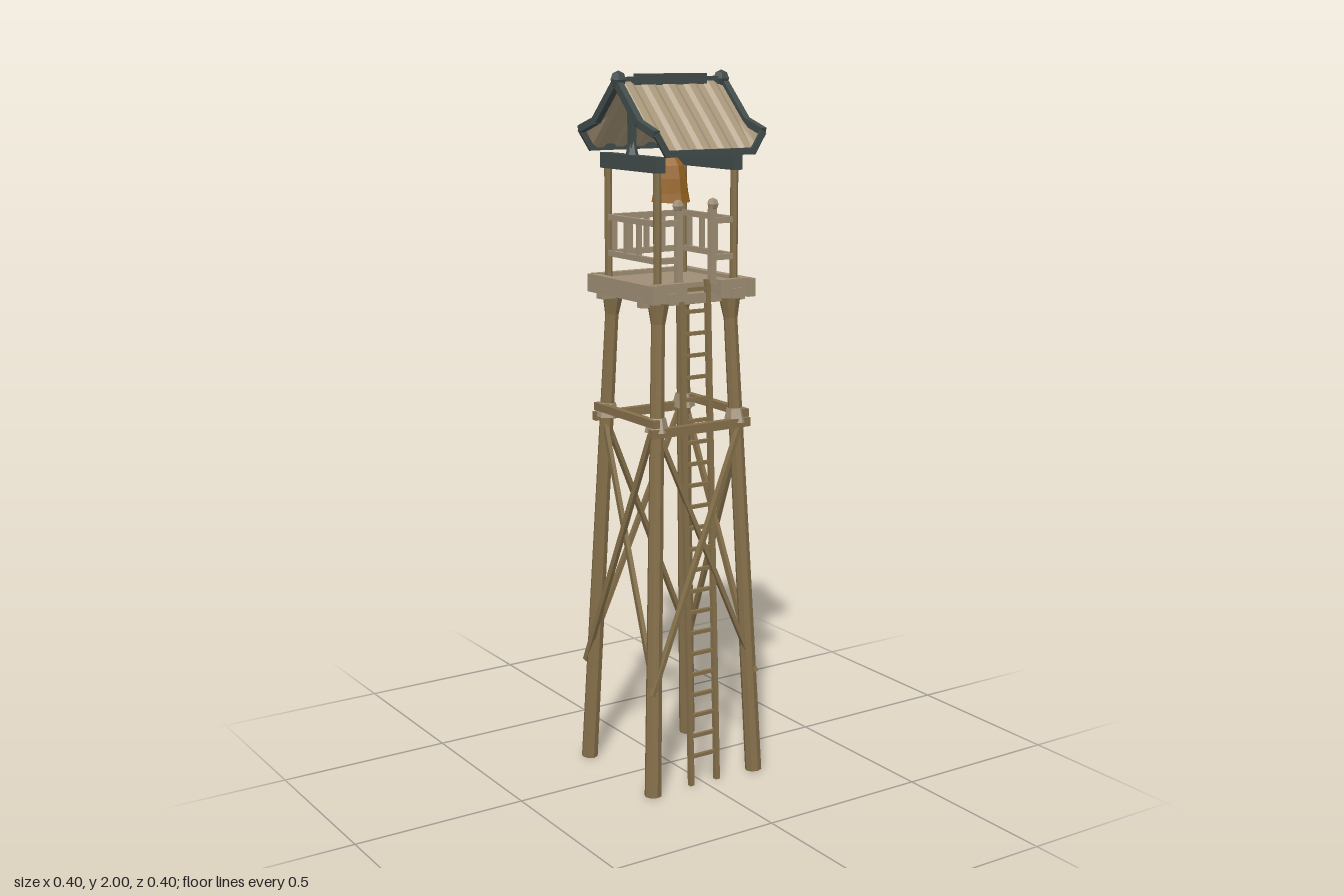
import * as THREE from 'three';

const paint = (name, color, extra = {}) => {
  const m = new THREE.MeshStandardMaterial({ color, flatShading: true, ...extra });
  m.name = name;
  return m;
};
const V = (x, y, z) => new THREE.Vector3(x, y, z);

export function createModel() {
  const brown = paint('brown timber', 0x85704a);
  const pale = paint('pale timber', 0xa08f76);
  const tan = paint('roof boards', 0xa8977a, { side: THREE.DoubleSide });
  const slate = paint('dark trim', 0x414c4b);
  const bronze = paint('bronze', 0x966320, { side: THREE.DoubleSide });

  const tower = new THREE.Group();
  tower.name = 'watchtower';
  const section = (name) => {
    const g = new THREE.Group();
    g.name = name;
    tower.add(g);
    return g;
  };
  const add = (parent, name, geo, mat, x = 0, y = 0, z = 0) => {
    const m = new THREE.Mesh(geo, mat);
    m.name = name;
    m.position.set(x, y, z);
    parent.add(m);
    return m;
  };
  const box = (parent, name, mat, w, h, d, x, y, z) =>
    add(parent, name, new THREE.BoxGeometry(w, h, d), mat, x, y, z);
  // square beam between two points
  const beam = (parent, name, mat, a, b, w, h = w) => {
    const m = box(parent, name, mat, w, h, a.distanceTo(b), 0, 0, 0);
    m.position.copy(a).add(b).multiplyScalar(0.5);
    m.lookAt(b);
    return m;
  };
  // round pole between two points
  const pole = (parent, name, mat, a, b, ra, rb = ra, sides = 8) => {
    const m = add(parent, name, new THREE.CylinderGeometry(rb, ra, a.distanceTo(b), sides), mat);
    m.position.copy(a).add(b).multiplyScalar(0.5);
    m.quaternion.setFromUnitVectors(V(0, 1, 0), b.clone().sub(a).normalize());
    return m;
  };

  // Distance of the leaning legs from the centre at a given height
  const lean = (y) => 0.174 - 0.041 * y;
  const sides = [-1, 1];

  // Legs, lashings and roof posts at the four corners
  const legs = section('legs');
  const posts = section('roofPosts');
  for (const sx of sides) for (const sz of sides) {
    const at = (y) => V(sx * lean(y), y, sz * lean(y));
    pole(legs, 'leg', brown, at(0), at(1.4), 0.024, 0.019);
    pole(legs, 'legCollar', brown, at(1.33), at(1.385), 0.02, 0.03);
    pole(legs, 'lashing', pale, at(1.035), at(1.075), 0.034, 0.024, 6);
    pole(posts, 'roofPost', brown, V(sx * 0.125, 1.42, sz * 0.125), V(sx * 0.125, 1.75, sz * 0.125), 0.011);
  }

  // Tie beams and crossed braces on all four faces
  const bracing = section('bracing');
  for (const s of sides) {
    const e = 0.148 * s;
    beam(bracing, 'frontTieBeam', brown, V(-0.163, 1.035, e), V(0.163, 1.035, e), 0.02, 0.025);
    beam(bracing, 'sideTieBeam', brown, V(e, 1.062, -0.158), V(e, 1.062, 0.158), 0.02, 0.022);
    for (const d of sides) {
      const lo = lean(0.31), hi = lean(1.03);
      const out = (c) => s * (c + 0.014 + d * 0.005);
      beam(bracing, 'crossBrace', brown, V(-d * (lo + 0.018), 0.3, out(lo)), V(d * hi, 1.03, out(hi)), 0.016, 0.012);
      beam(bracing, 'crossBrace', brown, V(out(lo), 0.3, -d * (lo + 0.018)), V(out(hi), 1.03, d * hi), 0.012, 0.016);
    }
  }

  // Ladder leaning with the front legs
  const ladder = section('ladder');
  for (const s of sides)
    beam(ladder, 'ladderRail', brown, V(s * 0.044, 0, lean(0)), V(s * 0.044, 1.44, lean(1.44)), 0.014);
  for (let i = 0; i < 23; i++) {
    const y = 0.085 + i * 0.0605;
    box(ladder, 'rung', brown, 0.08, 0.01, 0.01, 0, y, lean(y));
  }

  // Platform with a hatch at the front for the ladder
  const platform = section('platform');
  box(platform, 'floor', pale, 0.31, 0.03, 0.245, 0, 1.415, -0.0325);
  for (const s of sides) {
    box(platform, 'hatchFloor', pale, 0.1, 0.03, 0.065, s * 0.105, 1.415, 0.1225);
    box(platform, 'sideEdge', pale, 0.025, 0.05, 0.34, s * 0.155, 1.415, 0);
    box(platform, 'frontEdge', pale, 0.105, 0.05, 0.02, s * 0.107, 1.417, 0.155);
    box(platform, 'joist', pale, 0.028, 0.028, 0.345, s * 0.105, 1.403, 0);
    box(platform, 'crossJoist', pale, 0.338, 0.028, 0.028, 0, 1.39, s * 0.105);
  }
  box(platform, 'backEdge', pale, 0.32, 0.05, 0.02, 0, 1.417, -0.155);

  // Railings on three sides, with an opening at the front
  const railing = section('railing');
  for (const y of [1.5, 1.6]) {
    box(railing, 'backRail', pale, 0.25, 0.016, 0.014, 0, y, -0.125);
    for (const s of sides) {
      box(railing, 'sideRail', pale, 0.014, 0.016, 0.25, s * 0.125, y, 0);
      box(railing, 'frontRail', pale, 0.07, 0.016, 0.014, s * 0.09, y, 0.125);
    }
  }
  for (const k of [-1, 0, 1]) {
    box(railing, 'backBaluster', pale, 0.012, 0.1, 0.012, k * 0.055, 1.55, -0.125);
    for (const s of sides)
      box(railing, 'sideBaluster', pale, 0.012, 0.1, 0.012, s * 0.125, 1.55, -0.03 + k * 0.064);
  }
  for (const s of sides) {
    box(railing, 'gatePost', pale, 0.018, 0.21, 0.018, s * 0.055, 1.535, 0.122);
    add(railing, 'gatePostCap', new THREE.SphereGeometry(0.017, 6, 4), pale, s * 0.057, 1.645, 0.122);
  }

  // Bell, hung from the ridge
  const bell = section('bell');
  const profile = [[0.055, 1.645], [0.05, 1.67], [0.045, 1.71], [0.037, 1.745], [0.02, 1.765], [0, 1.77]]
    .map(([r, y]) => new THREE.Vector2(r, y));
  add(bell, 'bellBody', new THREE.LatheGeometry(profile, 10), bronze);
  pole(bell, 'bellHanger', slate, V(0, 1.765, 0), V(0, 1.96, 0), 0.005, 0.005, 6);

  // Roof frame: side beams, king posts and ridge
  const frame = section('roofFrame');
  for (const s of sides) {
    box(frame, 'topBeam', slate, 0.03, 0.042, 0.285, s * 0.125, 1.756, 0);
    box(frame, 'kingPost', slate, 0.018, 0.2, 0.018, s * 0.125, 1.87, 0);
    pole(frame, 'kingPostFoot', slate, V(s * 0.125, 1.775, 0), V(s * 0.125, 1.81, 0), 0.018, 0.01, 6);
    add(frame, 'ridgeKnob', new THREE.SphereGeometry(0.024, 6, 4), slate, s * 0.167, 1.976, 0);
  }
  box(frame, 'ridgeBeam', slate, 0.34, 0.022, 0.02, 0, 1.972, 0);
  box(frame, 'ridgeCap', slate, 0.214, 0.028, 0.037, 0, 1.977, 0);

  // Roof slope: height falls in two pitches and the eave corners turn up
  const clamp = THREE.MathUtils.clamp;
  const slope = [[0.006, 1.965], [0.11, 1.865], [0.193, 1.783]];
  const roofPoint = (x, row, s, ridge = 0) => {
    const [z, y] = slope[row];
    const lift = row === 2 ? 0.056 * clamp((Math.abs(x) - 0.135) / 0.033, 0, 1) : 0;
    return V(x, y + lift + ridge, s * z);
  };
  // corrugation across the roof: rise, crest, fall, trough
  const columns = [];
  const period = 0.336 / 5;
  for (let i = 0; i < 5; i++)
    for (const [f, h] of [[0, 0], [0.2, 0.01], [0.5, 0.01], [0.7, 0]])
      columns.push([-0.168 + (i + f) * period, h]);
  columns.push([0.168, 0]);

  const roof = section('roof');
  for (const s of sides) {
    const pos = [], index = [];
    for (const [x, h] of columns)
      for (let r = 0; r < 3; r++) pos.push(...roofPoint(x, r, s, h).toArray());
    for (let i = 0; i < columns.length - 1; i++)
      for (let r = 0; r < 2; r++) {
        const a = i * 3 + r, b = a + 1, c = a + 3, d = a + 4;
        index.push(...(s > 0 ? [a, b, c, b, d, c] : [a, c, b, b, c, d]));
      }
    const geo = new THREE.BufferGeometry();
    geo.setAttribute('position', new THREE.Float32BufferAttribute(pos, 3));
    geo.setIndex(index);
    geo.computeVertexNormals();
    add(roof, 'roofSlope', geo, tan);

    // dark trim along the rakes and the upturned eave
    for (const sx of sides) {
      const p = [0, 1, 2].map((r) => roofPoint(sx * 0.171, r, s));
      beam(roof, 'rakeTrim', slate, p[0], p[1], 0.018, 0.022);
      beam(roof, 'rakeTrim', slate, p[1], p[2], 0.018, 0.02);
      beam(roof, 'eaveCorner', slate, p[2], roofPoint(sx * 0.135, 2, s), 0.008, 0.018);
    }
    beam(roof, 'eaveTrim', slate, roofPoint(-0.138, 2, s), roofPoint(0.138, 2, s), 0.008, 0.018);
  }
  return tower;
}
